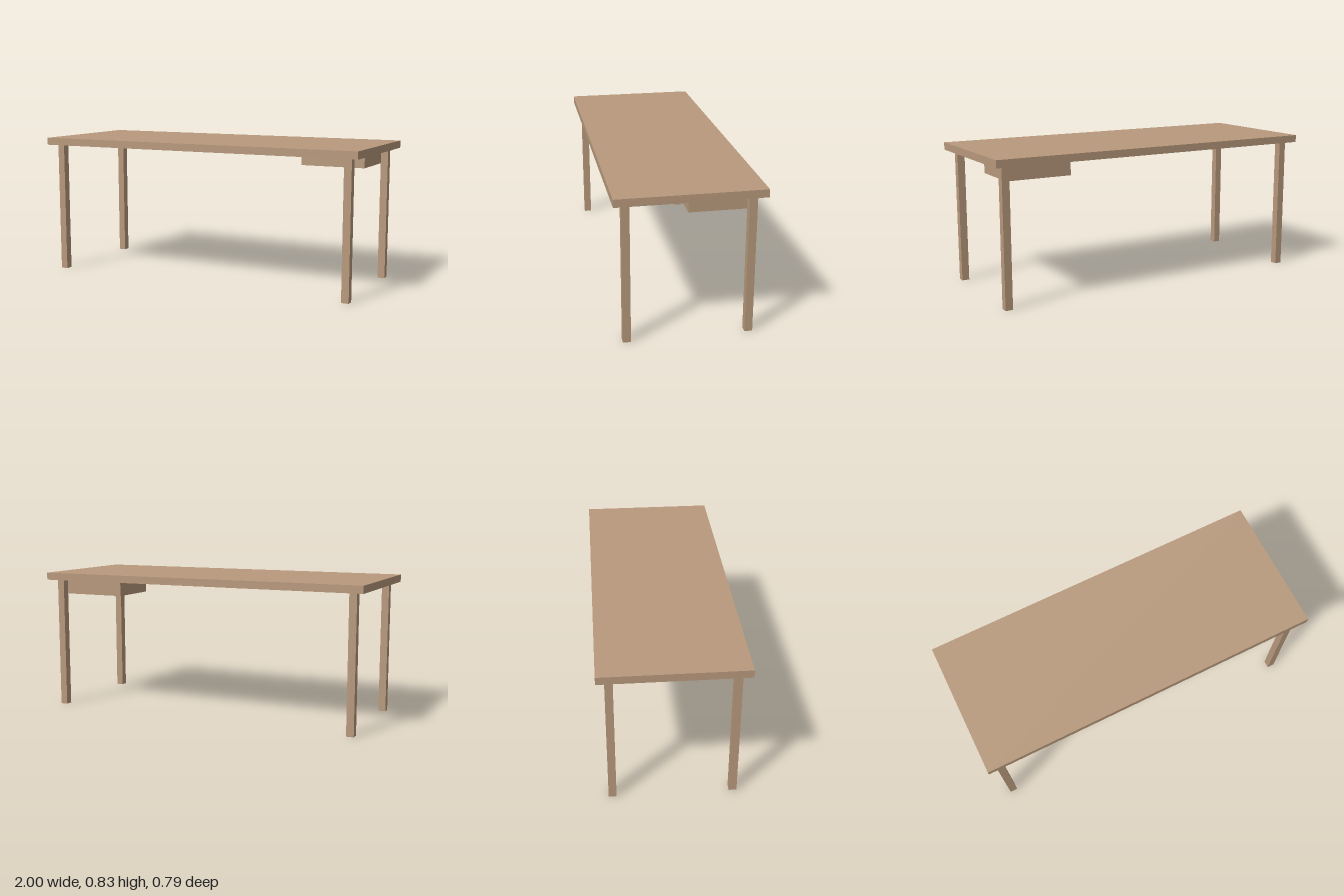
import * as THREE from 'three';

export function createModel() {
  const group = new THREE.Group();
  const wood = new THREE.MeshStandardMaterial({ color: 0xb8997c });

  // Box given by its minimum and maximum on each axis
  const addBox = (name, [x0, x1], [y0, y1], [z0, z1]) => {
    const mesh = new THREE.Mesh(new THREE.BoxGeometry(x1 - x0, y1 - y0, z1 - z0), wood);
    mesh.position.set((x0 + x1) / 2, (y0 + y1) / 2, (z0 + z1) / 2);
    mesh.name = name;
    group.add(mesh);
  };

  const underside = 0.783, legInX = 0.91, legOutX = 0.953, legInZ = 0.308, legOutZ = 0.351;

  // Table top
  addBox('tableTop', [-1, 1], [underside, 0.826], [-0.396, 0.396]);

  // Four square legs, inset from the corners
  for (const [side, sx] of [['Left', 1], ['Right', -1]]) {
    for (const [end, sz] of [['front', 1], ['back', -1]]) {
      const x = [sx * legInX, sx * legOutX].sort((a, b) => a - b);
      const z = [sz * legInZ, sz * legOutZ].sort((a, b) => a - b);
      addBox(`${end}${side}Leg`, x, [0, underside], z);
    }
  }

  // Drawer box hung under the top at the back left
  addBox('drawer', [0.53, legInX], [0.694, underside], [-legInZ, 0]);

  return group;
}
